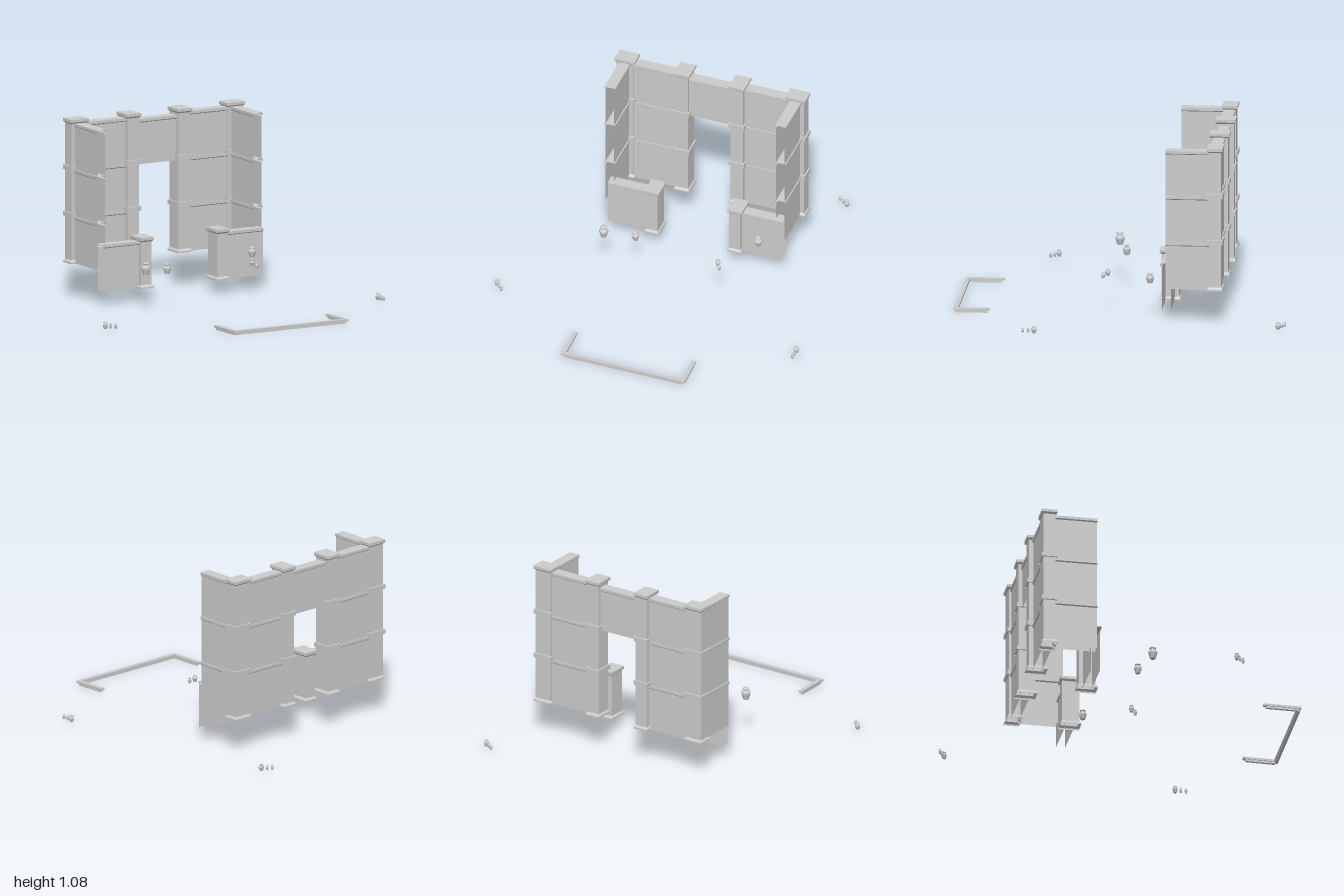
import * as THREE from 'three';

const stone = new THREE.MeshStandardMaterial({ color: 0xcccccc, side: THREE.DoubleSide });
stone.name = 'light grey stone';

// Rectangular shell lofted through rings [halfWidth, halfDepth, y]; base stays open.
function shell(rings, openEnds = false) {
  const pos = [];
  const corner = ([w, d, y], i) => [[-w, y, d], [w, y, d], [w, y, -d], [-w, y, -d]][i % 4];
  const quad = (a, b, c, d) => pos.push(...a, ...b, ...c, ...a, ...c, ...d);
  for (let r = 0; r < rings.length - 1; r++) {
    for (let s = 0; s < 4; s += openEnds ? 2 : 1) {
      const lo = rings[r], hi = rings[r + 1];
      quad(corner(lo, s), corner(lo, s + 1), corner(hi, s + 1), corner(hi, s));
    }
  }
  const top = rings[rings.length - 1];
  quad(corner(top, 0), corner(top, 1), corner(top, 2), corner(top, 3));
  const g = new THREE.BufferGeometry();
  g.setAttribute('position', new THREE.Float32BufferAttribute(pos, 3));
  g.computeVertexNormals();
  return g;
}

function add(group, name, geometry, x, y, z, turn = 0) {
  const m = new THREE.Mesh(geometry, stone);
  m.name = name;
  m.position.set(x, y, z);
  m.rotation.y = turn;
  group.add(m);
}

// Pillar with a flared plinth and an overhanging cap
function pillar(group, name, x, y, z, w, d) {
  const a = w / 2, b = d / 2, i = 0.01;
  add(group, name, shell([
    [a, b, 0], [a, b, 0.01], [a - i, b - i, 0.022], [a - i, b - i, 0.28],
    [a, b, 0.29], [a, b, 0.307],
  ]), x, y, z);
}

// Hollow wall panel with a coping, open at both ends
function wall(group, name, x, y, z, length, height, turn = 0) {
  const l = length / 2;
  add(group, name, shell([
    [l, 0.027, 0], [l, 0.027, height - 0.022],
    [l, 0.034, height - 0.016], [l, 0.034, height],
  ], true), x, y, z, turn);
}

// Faceted pot with neck and rim
function pot(group, name, x, y, z, r, h) {
  const profile = [[0, 0], [0.6, 0], [0.68, 0.08], [1, 0.48], [0.95, 0.64], [0.58, 0.75],
    [0.56, 0.83], [0.75, 0.87], [0.72, 0.95], [0.5, 1], [0, 1]]
    .map(([u, v]) => new THREE.Vector2(u * r, v * h));
  const g = new THREE.LatheGeometry(profile, 10).toNonIndexed();
  g.computeVertexNormals();
  add(group, name, g, x, y, z);
}

export function createModel() {
  const model = new THREE.Group();
  model.name = 'ruinedHall';

  // Three-storey hall: back wall with a doorway, plus two side walls
  const hall = new THREE.Group();
  hall.name = 'hall';
  model.add(hall);
  const wallHeights = [0.284, 0.286, 0.282];
  wallHeights.forEach((height, floor) => {
    const y = 0.21 + floor * 0.28;
    pillar(hall, 'cornerPillarRight', -0.515, y, -0.565, 0.126, 0.092);
    pillar(hall, 'doorPillarRight', -0.151, y, -0.566, 0.098, 0.124);
    pillar(hall, 'doorPillarLeft', 0.198, y, -0.562, 0.098, 0.124);
    pillar(hall, 'cornerPillarLeft', 0.562, y, -0.568, 0.126, 0.092);
    wall(hall, 'backWallRight', -0.318, y, -0.563, 0.3, height);
    wall(hall, 'backWallLeft', 0.365, y, -0.563, 0.3, height);
    wall(hall, 'sideWallRight', -0.516, y, -0.403, 0.26, height, Math.PI / 2);
    wall(hall, 'sideWallLeft', 0.562, y, -0.403, 0.26, height, Math.PI / 2);
  });
  wall(hall, 'lintelWall', 0.023, 0.764, -0.563, 0.29, 0.272);

  // Sunken front walls beside the entrance
  const front = new THREE.Group();
  front.name = 'frontWalls';
  model.add(front);
  pillar(front, 'frontPillarRight', -0.232, 0.079, -0.279, 0.092, 0.125);
  pillar(front, 'frontPillarLeft', 0.292, 0.079, -0.279, 0.092, 0.125);
  wall(front, 'frontWallRight', -0.384, 0.079, -0.278, 0.272, 0.284);
  wall(front, 'frontWallLeft', 0.45, 0.079, -0.278, 0.272, 0.284);

  // Low kerb: narrow base strip under a wider coping
  const kerb = new THREE.Group();
  kerb.name = 'kerb';
  model.add(kerb);
  const bars = [
    [0.035, 0.984, 0.777, 0.008],
    [-0.342, 0.879, 0.225, Math.PI / 2 - 0.025],
    [0.414, 0.891, 0.21, Math.PI / 2 - 0.04],
  ];
  for (const [x, z, length, turn] of bars) {
    add(kerb, 'kerbBase', new THREE.BoxGeometry(length - 0.03, 0.013, 0.016), x, 0.0065, z, -turn);
    add(kerb, 'kerbCoping', new THREE.BoxGeometry(length, 0.013, 0.025), x, 0.0195, z, -turn);
  }

  // Pots: [x, bottom, z, radius, height]
  const pots = new THREE.Group();
  pots.name = 'pots';
  model.add(pots);
  [
    [-0.421, 0.228, 0.085, 0.028, 0.074],
    [-0.241, 0.209, 0.029, 0.023, 0.062],
    [0.461, 0.214, -0.169, 0.024, 0.06],
    [0.305, 0.214, 0.095, 0.016, 0.042],
    [0.322, 0.203, 0.121, 0.012, 0.034],
    [-0.943, 0.018, 0.492, 0.016, 0.042],
    [-0.921, 0.021, 0.516, 0.009, 0.03],
    [-0.899, 0.021, 0.538, 0.01, 0.03],
    [0.942, 0.012, 0.479, 0.016, 0.042],
    [0.942, 0.014, 0.513, 0.009, 0.03],
    [0.942, 0.014, 0.545, 0.009, 0.03],
    [0.729, 0.012, -0.953, 0.016, 0.042],
    [0.699, 0.014, -0.972, 0.009, 0.03],
    [0.673, 0.014, -0.988, 0.009, 0.03],
  ].forEach((p) => pot(pots, 'pot', ...p));

  return model;
}
